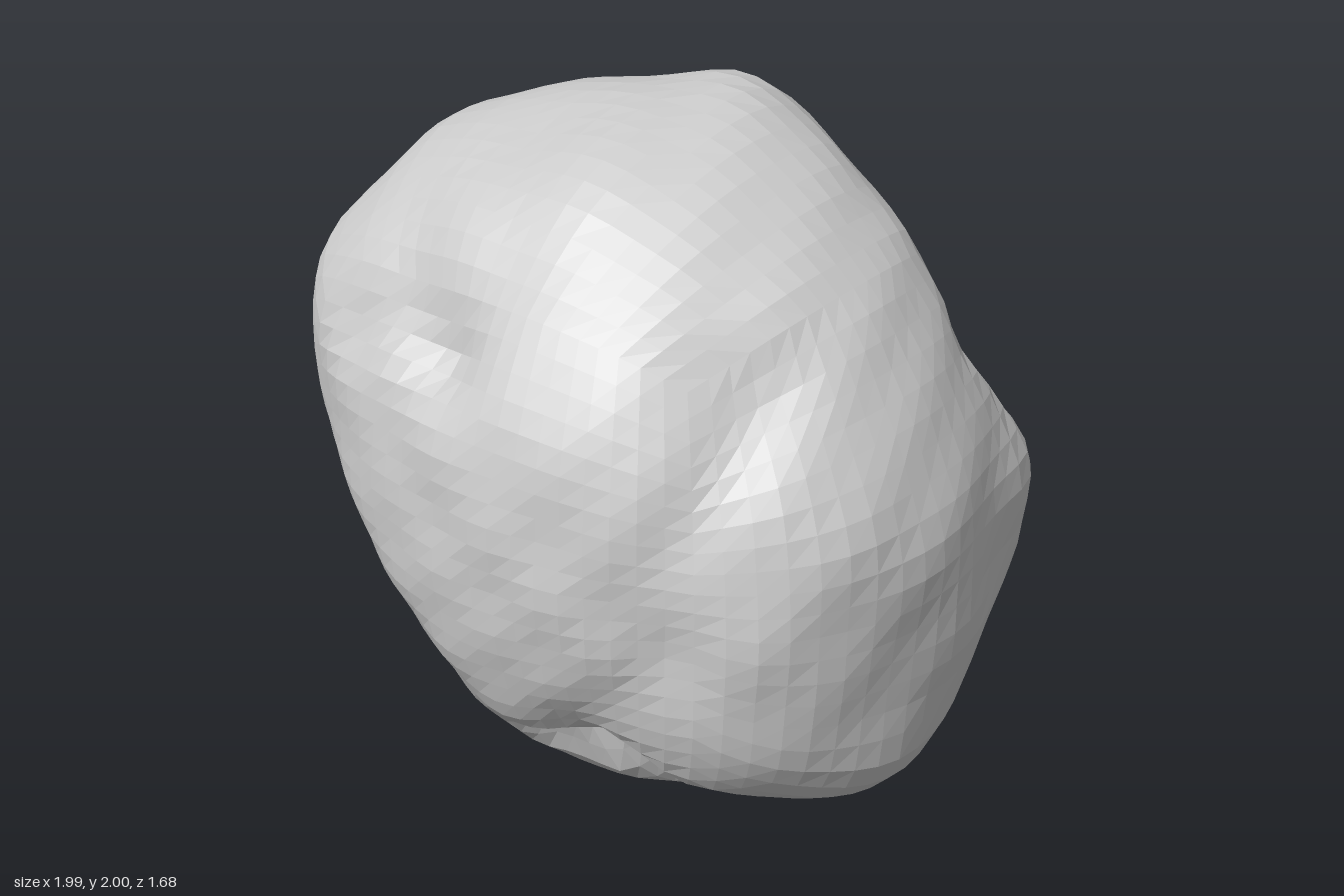
import * as THREE from 'three';

// Cross-sections through the middle of the rock, measured from its centre
const sectionXY = [[0.14, 1], [0.4, 0.88], [0.67, 0.66], [0.8, 0.45], [0.91, 0.25], [0.99, 0.05], [0.98, -0.2],
  [0.93, -0.45], [0.88, -0.65], [0.75, -0.8], [0.55, -0.82], [0.4, -0.9], [0.3, -0.97], [0.13, -1], [-0.05, -0.97],
  [-0.25, -0.87], [-0.45, -0.73], [-0.6, -0.57], [-0.75, -0.38], [-0.9, -0.23], [-0.99, -0.05], [-0.98, 0.2],
  [-0.91, 0.54], [-0.75, 0.77], [-0.55, 0.89], [-0.35, 0.93]];
const sectionZY = [[-0.33, 0.97], [-0.5, 0.82], [-0.67, 0.65], [-0.75, 0.4], [-0.8, 0.1], [-0.83, -0.05], [-0.83, -0.2],
  [-0.78, -0.32], [-0.64, -0.46], [-0.58, -0.75], [-0.5, -0.8], [-0.3, -0.9], [0, -0.98], [0.1, -1], [0.25, -0.96],
  [0.4, -0.85], [0.55, -0.74], [0.65, -0.62], [0.75, -0.45], [0.81, -0.25], [0.83, -0.05], [0.8, 0.33],
  [0.7, 0.48], [0.6, 0.65], [0.5, 0.8], [0.35, 0.9], [0, 0.97]];
const sectionXZ = [[-0.2, -0.82], [0.03, -0.84], [0.35, -0.75], [0.55, -0.65], [0.75, -0.6], [0.87, -0.45], [0.93, -0.2],
  [0.98, 0], [0.98, 0.2], [0.93, 0.4], [0.8, 0.57], [0.6, 0.7], [0.45, 0.76], [0.2, 0.8], [-0.06, 0.83],
  [-0.3, 0.79], [-0.6, 0.66], [-0.75, 0.54], [-0.88, 0.38], [-0.93, 0.25], [-0.99, 0], [-0.98, -0.15],
  [-0.9, -0.37], [-0.8, -0.55], [-0.65, -0.67], [-0.4, -0.76]];

// Relief along paths over the surface: negative heights are creases and pits, positive ones swellings
const relief = [
  // crease behind the left lobe, ending in a pit underneath
  { height: -0.06, width: 0.1, path: [[0.5, 0.64, -0.42], [0.68, 0.4, -0.38], [0.64, 0, -0.56], [0.52, -0.3, -0.62], [0.45, -0.5, -0.55]] },
  { height: -0.08, width: 0.16, path: [[0.38, -0.58, -0.55], [0.48, -0.5, -0.5]] },
  // broad valley at the upper back
  { height: -0.09, width: 0.26, path: [[0.3, 0.68, -0.6], [0.5, 0.35, -0.55]] },
  // soft crease between the front and the left lobe
  { height: -0.045, width: 0.17, path: [[0.62, 0.5, 0.42], [0.55, 0.1, 0.6], [0.5, -0.25, 0.65], [0.3, -0.5, 0.6]] },
  { height: -0.04, width: 0.25, path: [[0.45, 0.65, 0.4], [0.6, 0.5, 0.35]] },
  // recess above the bottom lump
  { height: -0.09, width: 0.11, path: [[0.08, -0.66, 0.55], [0.28, -0.6, 0.53], [0.52, -0.75, 0.3], [0.48, -0.85, 0]] },
  // small dent at the upper front
  { height: -0.05, width: 0.12, path: [[-0.42, 0.4, 0.6], [-0.3, 0.48, 0.6], [-0.12, 0.45, 0.65]] },
  // swellings of the upper right, the left lobe and the peak
  { height: 0.085, width: 0.3, path: [[-0.66, 0.4, 0.48], [-0.6, 0.46, 0.58]] },
  { height: 0.05, width: 0.3, path: [[-0.64, 0.36, -0.52], [-0.57, 0.4, -0.55]] },
  { height: 0.06, width: 0.27, path: [[0.65, -0.45, 0.55], [0.7, -0.48, 0.4]] },
  { height: 0.05, width: 0.25, path: [[0.8, -0.55, 0.05], [0.8, -0.45, -0.15]] },
  { height: 0.07, width: 0.22, path: [[0.8, -0.05, -0.45], [0.78, -0.2, -0.45]] },
  { height: 0.04, width: 0.2, path: [[0.14, 1, -0.2], [0.1, 1, -0.3]] },
  // flattening of the lower right
  { height: -0.055, width: 0.3, path: [[-0.7, -0.25, 0.6], [-0.4, -0.5, 0.6]] },
].map((part) => ({ ...part, path: part.path.map((p) => new THREE.Vector3(...p).normalize()) }));

// Distance from the centre to a section outline at an angle
function outlineRadius(outline, angle) {
  const u = Math.cos(angle), v = Math.sin(angle);
  let best = 0;
  outline.forEach(([ax, ay], i) => {
    const [bx, by] = outline[(i + 1) % outline.length];
    const ex = bx - ax, ey = by - ay;
    const det = u * ey - v * ex;
    if (Math.abs(det) < 1e-9) return;
    const t = (ax * ey - ay * ex) / det;
    const s = (ax * v - ay * u) / det;
    if (s >= -1e-6 && s <= 1 + 1e-6) best = Math.max(best, t);
  });
  return best;
}

// The same distance averaged over neighbouring angles, to round the corners
function sectionRadius(outline, u, v) {
  const angle = Math.atan2(v, u);
  let sum = 0;
  for (let i = -3; i <= 3; i++) sum += outlineRadius(outline, angle + i * 0.04);
  return 1.01 * sum / 7;
}

// Blend the three sections into one closed rounded form
function bodyRadius({ x, y, z }) {
  const rx = sectionRadius(sectionXY, Math.sign(x) || 1, 0);
  const ry = sectionRadius(sectionXY, 0, Math.sign(y) || 1);
  const rz = sectionRadius(sectionZY, Math.sign(z) || 1, 0);
  let sum = 0, total = 0;
  for (const [outline, u, v, n, rn] of [
    [sectionXY, x, y, z, rz], [sectionZY, z, y, x, rx], [sectionXZ, x, z, y, ry]]) {
    const weight = 1 / (n * n + 0.04);
    const r = sectionRadius(outline, u, v);
    sum += weight * ((u * u + v * v) / (r * r) + (n * n) / (rn * rn));
    total += weight;
  }
  return 1 / Math.sqrt(sum / total);
}

function reliefHeight(d) {
  const nearest = new THREE.Vector3();
  const line = new THREE.Line3();
  let height = 0;
  for (const part of relief) {
    let distance = Infinity;
    for (let i = 1; i < part.path.length; i++) {
      line.set(part.path[i - 1], part.path[i]).closestPointToPoint(d, true, nearest);
      distance = Math.min(distance, nearest.normalize().distanceTo(d));
    }
    height += part.height * Math.exp(-((distance / part.width) ** 2));
  }
  return height;
}

// Gentle lumps that break up the facets
const lumps = ({ x, y, z }) => 0.008 * Math.sin(9 * x + 4 * y) * Math.sin(8 * z - 5 * y + 1)
  + 0.006 * Math.sin(17 * y + 6 * z) * Math.sin(15 * x - 7 * z);

export function createModel() {
  const group = new THREE.Group();
  group.name = 'boulder';

  // A gridded cube wrapped onto the lumpy form gives even four-sided facets
  const geometry = new THREE.BoxGeometry(2, 2, 2, 20, 20, 20);
  const position = geometry.attributes.position;
  const d = new THREE.Vector3();
  for (let i = 0; i < position.count; i++) {
    d.fromBufferAttribute(position, i);
    d.set(...d.toArray().map((c) => Math.tan(c * Math.PI / 4))).normalize();
    d.multiplyScalar(bodyRadius(d) + reliefHeight(d) + lumps(d));
    position.setXYZ(i, d.x, d.y, d.z);
  }

  // Stand it on the ground
  geometry.center();
  geometry.computeBoundingBox();
  geometry.translate(0, -geometry.boundingBox.min.y, 0);
  geometry.computeVertexNormals();

  const rock = new THREE.Mesh(geometry, new THREE.MeshStandardMaterial({ color: 0xcccccc, flatShading: true }));
  rock.name = 'rock';
  group.add(rock);
  return group;
}
